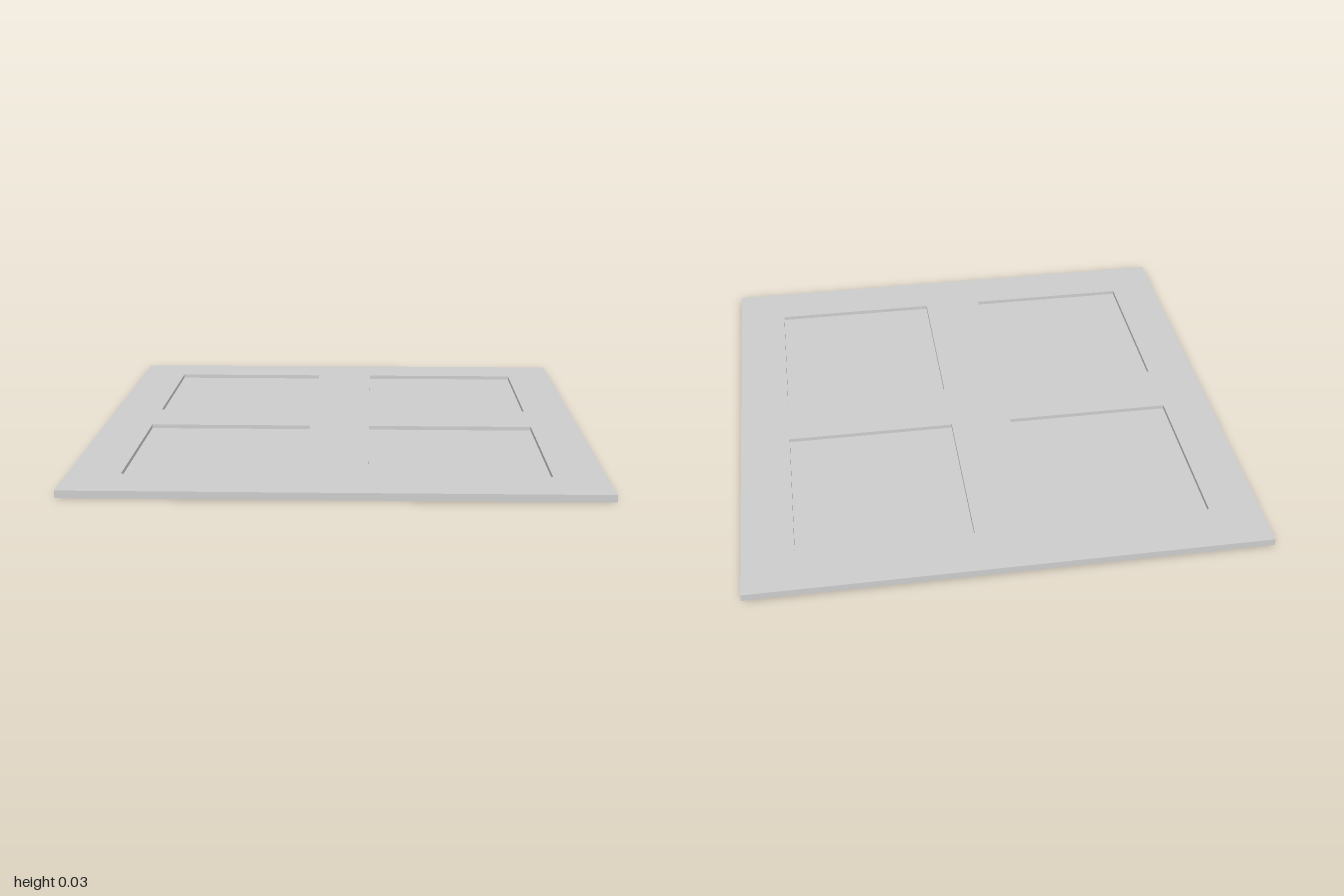
import * as THREE from 'three';

const HEIGHT = 0.028;
const PANEL_BOTTOM = 0.009, PANEL_TOP = 0.012;
const SPANS = [[-0.8, -0.13], [0.12, 0.8]]; // openings along x and z

function rectangle(target, x0, x1, y0, y1) {
  target.moveTo(x0, y0);
  target.lineTo(x1, y0);
  target.lineTo(x1, y1);
  target.lineTo(x0, y1);
  target.closePath();
  return target;
}

export function createModel() {
  const model = new THREE.Group();
  model.name = 'panelledBoard';
  const material = new THREE.MeshStandardMaterial({ color: 0xcccccc });

  // Square frame with four openings, laid flat
  const outline = rectangle(new THREE.Shape(), -1, 1, -1, 1);
  for (const [x0, x1] of SPANS) {
    for (const [z0, z1] of SPANS) {
      outline.holes.push(rectangle(new THREE.Path(), x0, x1, -z1, -z0));

      // Thin recessed panel closing the opening
      const panel = new THREE.Mesh(
        new THREE.BoxGeometry(x1 - x0, PANEL_TOP - PANEL_BOTTOM, z1 - z0), material);
      panel.position.set((x0 + x1) / 2, (PANEL_TOP + PANEL_BOTTOM) / 2, (z0 + z1) / 2);
      panel.name = `${z0 < 0 ? 'back' : 'front'}${x0 < 0 ? 'Right' : 'Left'}Panel`;
      model.add(panel);
    }
  }
  const geometry = new THREE.ExtrudeGeometry(outline, { depth: HEIGHT, bevelEnabled: false });
  geometry.rotateX(-Math.PI / 2);
  const frame = new THREE.Mesh(geometry, material);
  frame.name = 'frame';
  model.add(frame);

  return model;
}
